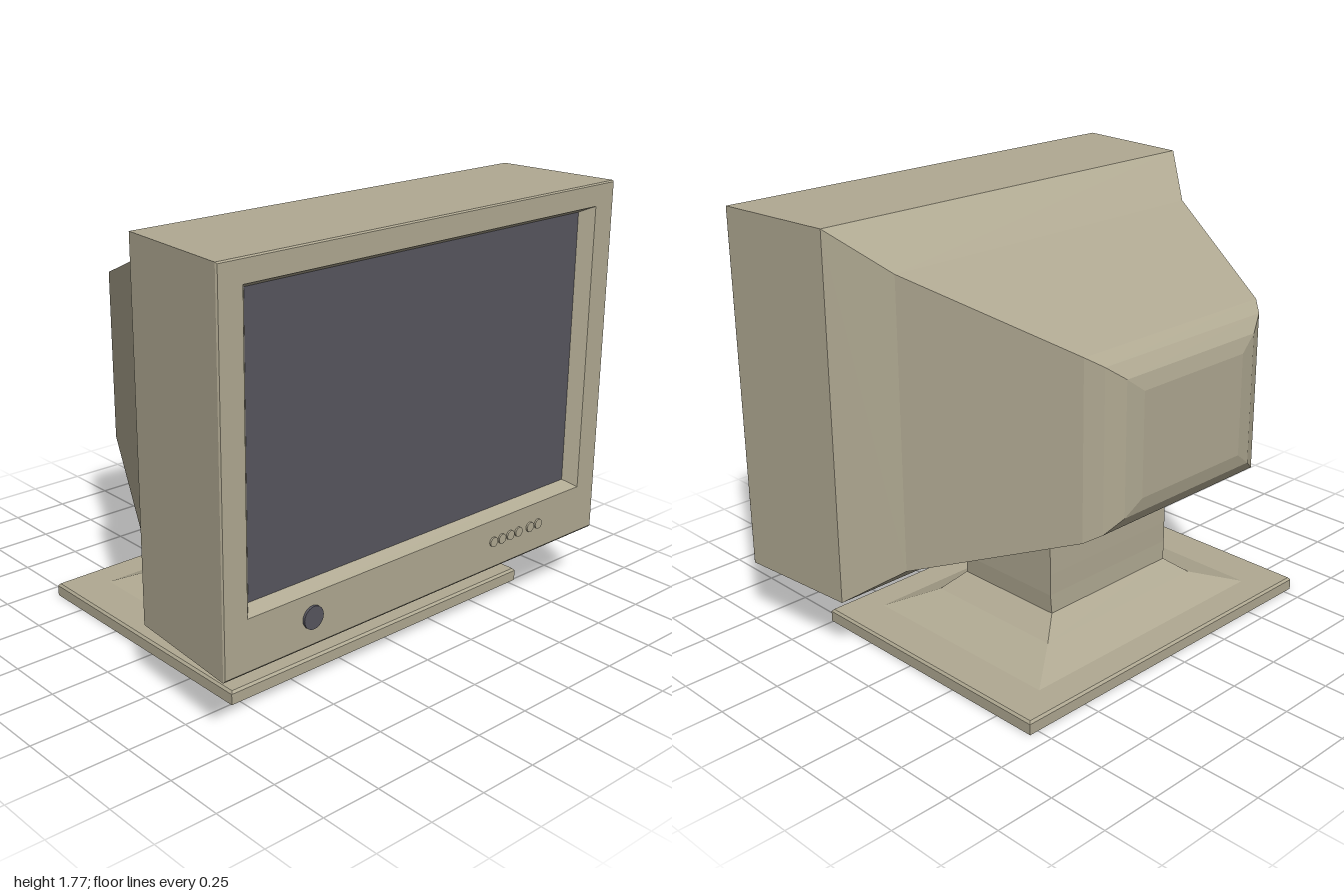
import * as THREE from 'three';

// Rectangular cross-sections, corners counter-clockwise seen from the positive axis
const ringX = ([x, y0, y1, w]) => [[x, y0, w], [x, y0, -w], [x, y1, -w], [x, y1, w]];
const ringY = ([y, x0, x1, w]) => [[x0, y, w], [x1, y, w], [x1, y, -w], [x0, y, -w]];

// Faceted skin through a list of four-cornered rings, with optional end caps
function loft(rings, startCap, endCap) {
  const pos = [];
  const quad = (a, b, c, d) => pos.push(...a, ...b, ...c, ...a, ...c, ...d);
  for (let i = 0; i < rings.length - 1; i++) {
    for (let j = 0; j < 4; j++) {
      const k = (j + 1) % 4;
      quad(rings[i][j], rings[i][k], rings[i + 1][k], rings[i + 1][j]);
    }
  }
  if (startCap) quad(...[...rings[0]].reverse());
  if (endCap) quad(...rings[rings.length - 1]);
  const geo = new THREE.BufferGeometry();
  geo.setAttribute('position', new THREE.Float32BufferAttribute(pos, 3));
  geo.computeVertexNormals();
  return geo;
}

export function createModel() {
  const model = new THREE.Group();
  model.name = 'monitor';

  const beige = new THREE.MeshStandardMaterial({ color: 0xb0a992 });
  beige.name = 'beige plastic';
  const dark = new THREE.MeshStandardMaterial({ color: 0x57565f });
  dark.name = 'dark glass';

  const add = (name, geo, mat) => {
    const mesh = new THREE.Mesh(geo, mat);
    mesh.name = name;
    model.add(mesh);
    return mesh;
  };

  // Tapering rear housing: [x, bottom, top, half width]
  add('rearHousing', loft([
    [-0.75, 0.81, 1.23, 0.28],
    [-0.737, 0.75, 1.29, 0.36],
    [-0.70, 0.695, 1.345, 0.435],
    [-0.645, 0.66, 1.38, 0.485],
    [0, 0.42, 1.61, 0.79],
    [0.2, 0.27, 1.77, 0.957],
  ].map(ringX), true, false), beige);

  // Front case, turning in over the bezel and back into the screen recess
  add('frontCase', loft([
    [0.2, 0.27, 1.77, 0.957],
    [0.728, 0.27, 1.77, 1.0],
    [0.735, 0.279, 1.765, 0.996],
    [0.735, 0.485, 1.68, 0.893],
    [0.685, 0.515, 1.655, 0.85],
  ].map(ringX), false, false), beige);

  // Screen at the bottom of the recess
  add('screen', loft([ringX([0.685, 0.515, 1.655, 0.85])], false, true), dark);

  // Round controls on the lower bezel
  const control = (name, z, radius, front, mat, sides) => {
    const geo = new THREE.CylinderGeometry(radius, radius, front - 0.73, sides);
    geo.rotateZ(-Math.PI / 2);
    add(name, geo, mat).position.set((front + 0.73) / 2, 0.39, z);
  };
  control('powerButton', 0.593, 0.046, 0.745, dark, 24);
  [-0.375, -0.425, -0.475, -0.525, -0.595, -0.645].forEach((z, i) =>
    control('menuButton' + (i + 1), z, 0.021, 0.742, beige, 16));

  // Foot plate with a slightly bevelled rim: [y, back, front, half width]
  add('footPlate', loft([
    [0, -0.68, 0.507, 0.79],
    [0.045, -0.68, 0.507, 0.79],
    [0.055, -0.672, 0.499, 0.782],
  ].map(ringY), true, true), beige);

  // Stepped skirt rising to the neck
  add('footSkirt', loft([
    [0.055, -0.55, 0.378, 0.615],
    [0.118, -0.405, 0.232, 0.425],
    [0.19, -0.338, 0.166, 0.335],
  ].map(ringY), false, true), beige);

  // Neck reaching into the housing
  add('neck', loft([
    [0.19, -0.338, 0.166, 0.335],
    [0.27, -0.335, 0.158, 0.34],
    [0.36, -0.335, 0.06, 0.34],
    [0.58, -0.332, 0.06, 0.34],
  ].map(ringY), false, true), beige);

  return model;
}
